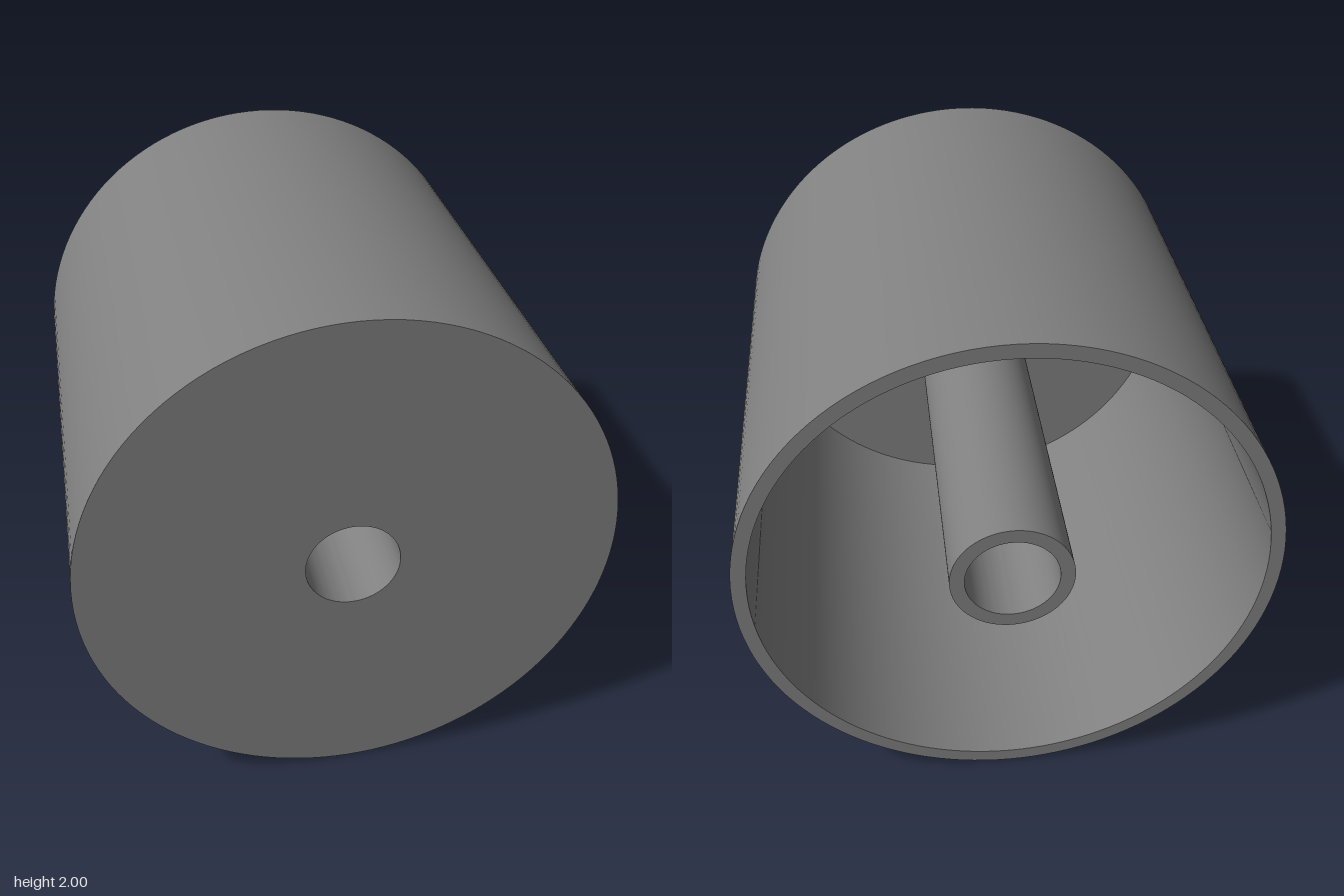
import * as THREE from 'three';
import { toCreasedNormals } from 'three/addons/utils/BufferGeometryUtils.js';

const HALF = 0.97;      // half the length along z
const OUTER = 1;        // drum radius
const BORE = 0.175;     // through-hole radius
const WALL = 0.055;     // thickness of drum, end plate and sleeve
const FLOOR = HALF - WALL;

export function createModel() {
  const grey = new THREE.MeshStandardMaterial({ color: 0x808080 });
  grey.name = 'grey';
  const model = new THREE.Group();
  model.name = 'hollowRoller';

  // Turns a [radius, z] profile about the z axis, keeping its corners sharp
  const turn = (name, profile) => {
    const points = profile.map(([r, z]) => new THREE.Vector2(r, z));
    const geometry = new THREE.LatheGeometry(points, 128).rotateX(Math.PI / 2);
    const mesh = new THREE.Mesh(toCreasedNormals(geometry, Math.PI / 6), grey);
    mesh.name = name;
    mesh.position.y = OUTER;
    model.add(mesh);
  };

  // Drum: inner wall, back rim and outer wall
  turn('drum', [[OUTER - WALL, FLOOR], [OUTER - WALL, -HALF], [OUTER, -HALF], [OUTER, HALF]]);

  // Closed front end: outer face and inner floor
  turn('frontFace', [[OUTER, HALF], [BORE, HALF]]);
  turn('innerFloor', [[BORE + WALL, FLOOR], [OUTER - WALL, FLOOR]]);

  // Central sleeve: bore, back rim and outside
  turn('axleSleeve', [[BORE, HALF], [BORE, -HALF], [BORE + WALL, -HALF], [BORE + WALL, FLOOR]]);

  return model;
}
